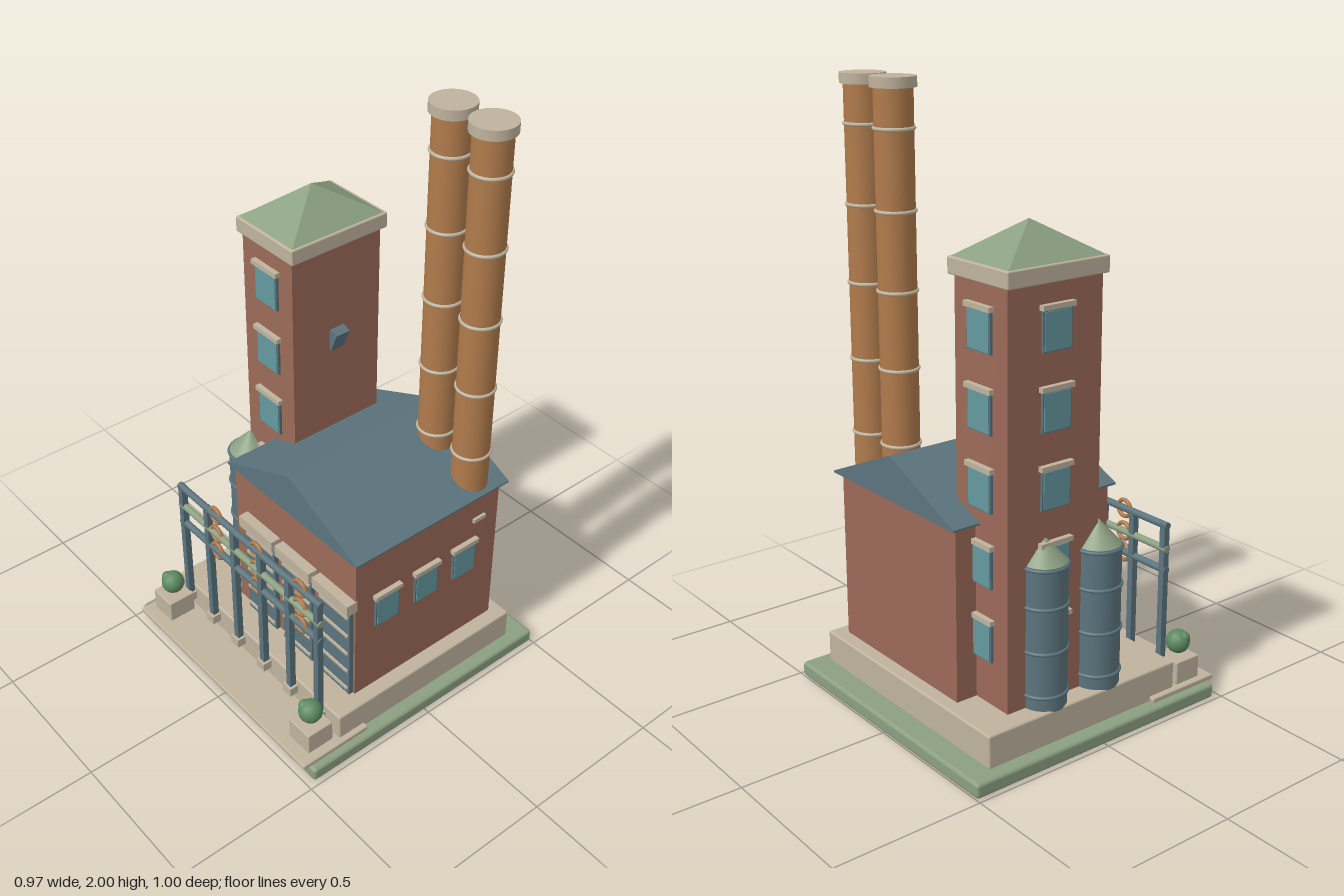
import * as THREE from 'three';
import { RoundedBoxGeometry } from 'three/addons/geometries/RoundedBoxGeometry.js';

const paint = (name, color) => {
  const m = new THREE.MeshStandardMaterial({ color });
  m.name = name;
  return m;
};

export function createModel() {
  const model = new THREE.Group();
  model.name = 'factory';
  const brick = paint('brick', 0x9c6a59);
  const slate = paint('slate', 0x5b747d);
  const stone = paint('stone', 0xbfb39e);
  const sage = paint('sage', 0x8b9f81);
  const copper = paint('copper', 0xb07b4c);
  const glass = paint('glass', 0x64999f);
  const leaf = paint('leaf', 0x5c8a60);

  const add = (name, geo, mat, x = 0, y = 0, z = 0, parent = model) => {
    const m = new THREE.Mesh(geo, mat);
    m.name = name;
    m.position.set(x, y, z);
    parent.add(m);
    return m;
  };
  // Box given by its limits on each axis, with optional rounded edges
  const box = (name, mat, [x0, x1], [y0, y1], [z0, z1], r = 0, parent = model) => {
    const s = [x1 - x0, y1 - y0, z1 - z0];
    const geo = r ? new RoundedBoxGeometry(...s, 2, r) : new THREE.BoxGeometry(...s);
    return add(name, geo, mat, (x0 + x1) / 2, (y0 + y1) / 2, (z0 + z1) / 2, parent);
  };
  const group = (name, x = 0, y = 0, z = 0) => {
    const g = new THREE.Group();
    g.name = name;
    g.position.set(x, y, z);
    model.add(g);
    return g;
  };

  // Ground slab, plinth and front apron
  box('groundSlab', sage, [-0.488, 0.485], [0, 0.05], [-0.5, 0.474], 0.012);
  box('plinth', stone, [-0.44, 0.44], [0.045, 0.157], [-0.42, 0.335], 0.007);
  box('apron', stone, [-0.46, 0.46], [0.048, 0.066], [0.23, 0.497], 0.005);

  // Main hall with a gabled roof
  box('hallWalls', brick, [-0.22, 0.39], [0.15, 0.73], [-0.372, 0.23]);
  const gable = new THREE.Shape([
    new THREE.Vector2(-0.325, 0), new THREE.Vector2(0.325, 0),
    new THREE.Vector2(0.325, 0.006), new THREE.Vector2(0, 0.148), new THREE.Vector2(-0.325, 0.006),
  ]);
  add('hallRoof', new THREE.ExtrudeGeometry(gable, { depth: 0.64, bevelEnabled: false }),
    slate, 0.085, 0.728, -0.394);

  // Tower with cornice and pyramid cap
  const tx = -0.25, tz = -0.122;
  box('towerWalls', brick, [-0.373, -0.128], [0.15, 1.47], [-0.297, 0.053]);
  box('towerCornice', stone, [-0.39, -0.11], [1.465, 1.518], [-0.311, 0.066], 0.005);
  let cap = new THREE.ConeGeometry(Math.SQRT1_2, 1, 4).rotateY(Math.PI / 4).scale(0.265, 0.107, 0.36);
  cap = cap.toNonIndexed();
  cap.computeVertexNormals();
  add('towerRoof', cap, sage, tx, 1.571, tz);

  // Framed window with a lintel, facing +z before turning
  const windowAt = (x, y, z, turn, w, h) => {
    const g = group('window', x, y, z);
    g.rotation.y = turn;
    box('windowFrame', slate, [-w / 2, w / 2], [-h / 2, h / 2], [-0.005, 0.009], 0, g);
    box('windowPane', glass, [-w / 2 + 0.005, w / 2 - 0.005], [-h / 2 + 0.005, h / 2 - 0.005], [0, 0.012], 0, g);
    box('windowLintel', stone, [-w / 2 - 0.007, w / 2 + 0.007], [h / 2, h / 2 + 0.016], [-0.005, 0.018], 0, g);
  };
  for (let i = 0; i < 5; i++) {
    const y = 0.365 + i * 0.24;
    windowAt(tx, y, 0.053, 0, 0.108, 0.125);
    windowAt(tx, y, -0.297, Math.PI, 0.108, 0.125);
    windowAt(-0.373, y, tz, -Math.PI / 2, 0.108, 0.125);
  }
  for (const z of [0.105, -0.06, -0.225]) windowAt(0.39, 0.477, z, Math.PI / 2, 0.096, 0.116);
  windowAt(-0.22, 0.477, 0.112, -Math.PI / 2, 0.096, 0.116);
  box('wallVent', stone, [0.385, 0.4], [0.618, 0.632], [-0.312, -0.26]);

  // Tilted horn on the tower side
  const horn = box('towerHorn', slate, [-0.138, -0.106], [1.092, 1.166], [-0.147, -0.093]);
  horn.rotation.z = -0.38;

  // Loading doors with ribs and lintels
  for (const x of [-0.075, 0.115, 0.305]) {
    box('door', slate, [x - 0.076, x + 0.076], [0.155, 0.525], [0.225, 0.246]);
    for (let i = 0; i < 5; i++) {
      const y = 0.182 + i * 0.078;
      box('doorRib', stone, [x - 0.07, x + 0.07], [y - 0.005, y + 0.005], [0.24, 0.252]);
    }
    box('doorLintel', stone, [x - 0.087, x + 0.087], [0.525, 0.567], [0.225, 0.266]);
  }

  // Twin chimneys with bands and caps
  for (const x of [0.175, 0.335]) {
    const g = group('chimney', x, 0, -0.288);
    add('chimneyStack', new THREE.CylinderGeometry(0.06, 0.06, 1.245, 32), copper, 0, 1.355, 0, g);
    for (let i = 0; i < 5; i++) {
      add('chimneyBand', new THREE.TorusGeometry(0.06, 0.006, 8, 32).rotateX(Math.PI / 2),
        stone, 0, 0.873 + i * 0.244, 0, g);
    }
    add('chimneyCap', new THREE.CylinderGeometry(0.071, 0.071, 0.032, 32), stone, 0, 1.984, 0, g);
  }

  // Storage tanks with hoops and conical lids
  for (const z of [-0.155, 0.06]) {
    const g = group('tank', -0.368, 0, z);
    add('tankBody', new THREE.CylinderGeometry(0.074, 0.074, 0.47, 32), slate, 0, 0.387, 0, g);
    add('tankLid', new THREE.ConeGeometry(0.074, 0.08, 32), sage, 0, 0.66, 0, g);
    for (const y of [0.2, 0.345, 0.49, 0.614]) {
      add('tankHoop', new THREE.TorusGeometry(0.074, 0.006, 8, 32).rotateX(Math.PI / 2), slate, 0, y, 0, g);
    }
  }

  // Pipe rack: posts on footings, three pipes, copper valve wheels
  const rz = 0.347;
  for (let i = 0; i < 6; i++) {
    const x = -0.365 + i * 0.143;
    box('rackPost', slate, [x - 0.011, x + 0.011], [0.12, 0.61], [rz - 0.011, rz + 0.011]);
    box('rackFooting', stone, [x - 0.02, x + 0.02], [0.1, 0.132], [rz - 0.02, rz + 0.02]);
  }
  const pipes = [[0.603, slate], [0.523, sage], [0.45, slate]];
  for (const [y, mat] of pipes) {
    add('rackPipe', new THREE.CylinderGeometry(0.012, 0.012, 0.745, 16).rotateZ(Math.PI / 2), mat, -0.007, y, rz);
    for (const x of [-0.177, 0.042, 0.262]) {
      add('valveWheel', new THREE.TorusGeometry(0.028, 0.007, 8, 24), copper, x, y, rz);
    }
  }

  // Planters with bushes
  for (const x of [-0.388, 0.377]) {
    box('planter', stone, [x - 0.05, x + 0.05], [0.064, 0.143], [0.352, 0.451], 0.004);
    add('bush', new THREE.IcosahedronGeometry(0.04, 2), leaf, x, 0.188, 0.402);
    add('smallBush', new THREE.IcosahedronGeometry(0.02, 2), leaf, x - 0.018, 0.205, 0.412);
  }
  return model;
}
